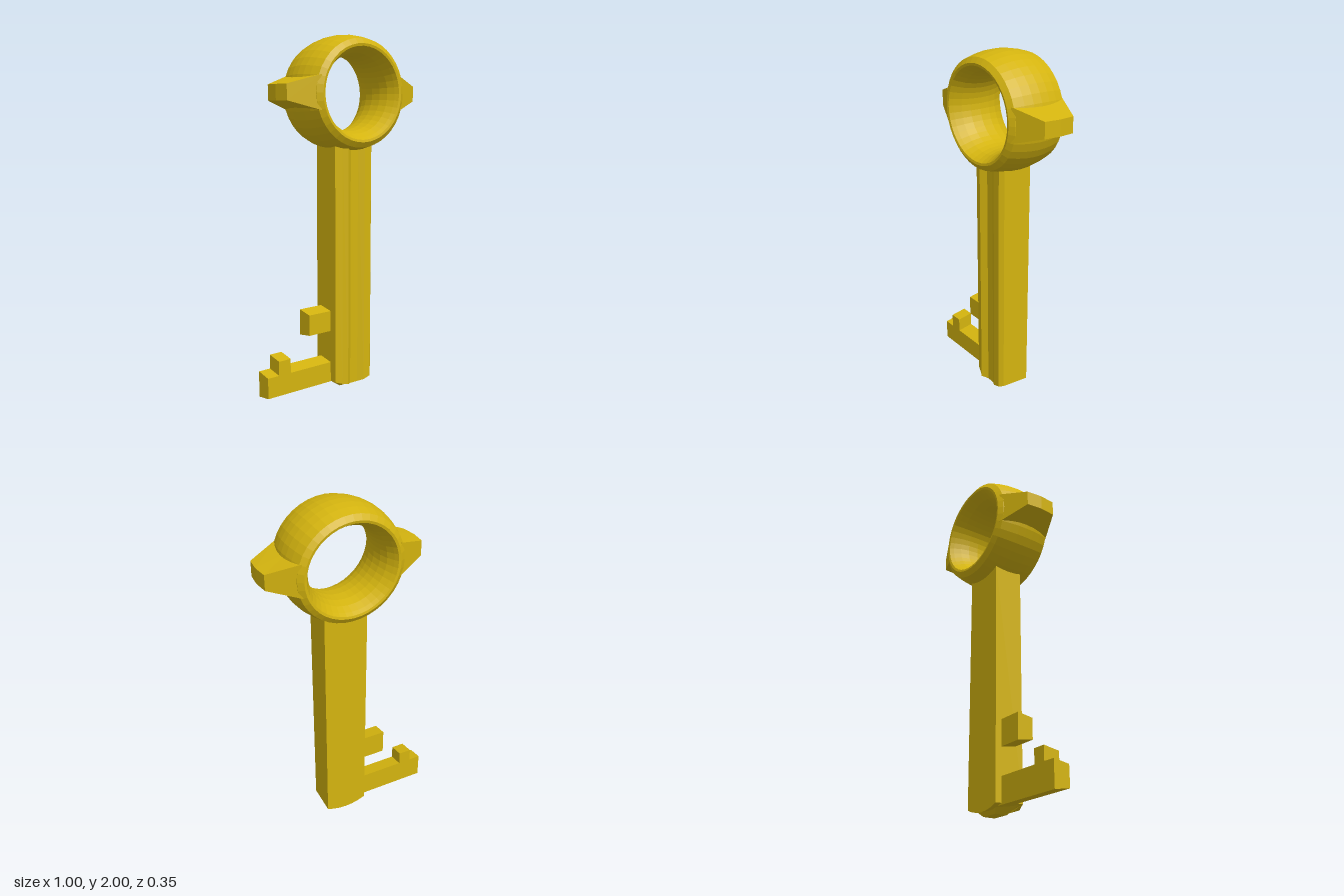
import * as THREE from 'three';

const material = new THREE.MeshStandardMaterial({ color: 0xd4b40f, flatShading: true });
const CX = 0.057, RING_Y = 1.68;

function part(name, geometry) {
  geometry.computeVertexNormals();
  const mesh = new THREE.Mesh(geometry, material);
  mesh.name = name;
  return mesh;
}

// Move every vertex of a geometry by a rule
function reshape(geometry, rule) {
  const p = geometry.attributes.position, v = new THREE.Vector3();
  for (let i = 0; i < p.count; i++) {
    v.fromBufferAttribute(p, i);
    rule(v);
    p.setXYZ(i, v.x, v.y, v.z);
  }
  return geometry;
}

// Bow: a barrel-shaped ring with a flared hole, its axis along z
function makeRing() {
  const half = [[0.207, 0], [0.212, 0.06], [0.225, 0.11], [0.245, 0.15], [0.258, 0.172],
    [0.272, 0.175], [0.302, 0.155], [0.318, 0.1], [0.327, 0.05], [0.33, 0]];
  const lower = half.slice(1, -1).reverse().map(([r, z]) => [r, -z]);
  // closed loop running outer side upward, then back down the hole
  const loop = [...lower, half[0], ...half.slice(1), lower[0]].reverse();
  const geo = new THREE.LatheGeometry(
    loop.map(([r, z]) => new THREE.Vector2(r, z)), 40);
  geo.rotateX(Math.PI / 2);
  const ring = part('bowRing', geo.toNonIndexed());
  ring.scale.y = 0.97;
  ring.position.set(CX, RING_Y, 0);
  return ring;
}

// Tapered lug on the side of the ring
function makeLug(side) {
  const geo = reshape(new THREE.BoxGeometry(1, 1, 1, 1, 1, 2), (v) => {
    const tip = v.x * side > 0;
    const mid = Math.abs(v.z) < 0.1;
    v.x = side * (tip ? (mid ? 0.452 : 0.443) : 0.275);
    v.z = Math.sign(v.z) * (mid ? 0 : tip ? 0.09 : 0.164);
    v.y = v.y > 0 ? (tip ? 0.045 : 0.095) : (tip ? -0.04 : -0.09);
  }).toNonIndexed();
  const lug = part(side > 0 ? 'leftLug' : 'rightLug', geo);
  lug.position.set(CX, RING_Y, 0);
  return lug;
}

// Shaft: flat back, grooved front, slightly domed foot
function makeShaft() {
  const section = [[-0.07, 0.085], [-0.03, 0.1], [0, 0.115], [0.035, 0.09], [0.085, 0.092],
    [0.12, 0.11], [0.165, 0.11], [0.185, 0.088], [0.185, -0.085]];
  for (let i = 1; i <= 6; i++) section.push([0.185 - 0.255 * i / 6, -0.085]);
  const shape = new THREE.Shape(section.map(([x, z]) => new THREE.Vector2(x, -z)));
  const geo = new THREE.ExtrudeGeometry(shape, { depth: 1.405, bevelEnabled: false });
  geo.rotateX(-Math.PI / 2);
  reshape(geo, (v) => {
    if (v.y > 0.5) return;
    const t = (v.x - CX) / 0.128;
    v.y = 0.01 + 0.028 * t * t + Math.max(0, v.z) * 0.15;
  });
  return part('shaft', geo);
}

// Foot cap: a shallow raised face below the shaft
function makeFoot() {
  const geo = reshape(new THREE.BoxGeometry(1, 1, 1), (v) => {
    const low = v.y < 0;
    v.x = CX + Math.sign(v.x) * (low ? 0.055 : 0.11);
    v.z = Math.sign(v.z) * (low ? 0.035 : 0.075);
    v.y = low ? 0 : 0.05;
  }).toNonIndexed();
  return part('shaftFoot', geo);
}

// Bit block whose front face is slightly shorter than its back face
function makeBit(name, x0, x1, y0, y1, trimBottom = 0.015) {
  const geo = reshape(new THREE.BoxGeometry(1, 1, 1), (v) => {
    const front = v.z > 0;
    v.x = v.x > 0 ? x1 : x0;
    v.y = v.y > 0 ? y1 - (front ? 0.015 : 0) : y0 + (front ? trimBottom : 0);
    v.z = front ? 0.042 : -0.05;
  }).toNonIndexed();
  return part(name, geo);
}

export function createModel() {
  const key = new THREE.Group();
  key.name = 'key';
  key.add(
    makeRing(), makeLug(1), makeLug(-1), makeShaft(), makeFoot(),
    makeBit('upperBit', -0.218, -0.04, 0.33, 0.477),
    makeBit('lowerBit', -0.493, -0.04, 0.03, 0.175),
    makeBit('bitTooth', -0.422, -0.346, 0.14, 0.255, 0));
  return key;
}
